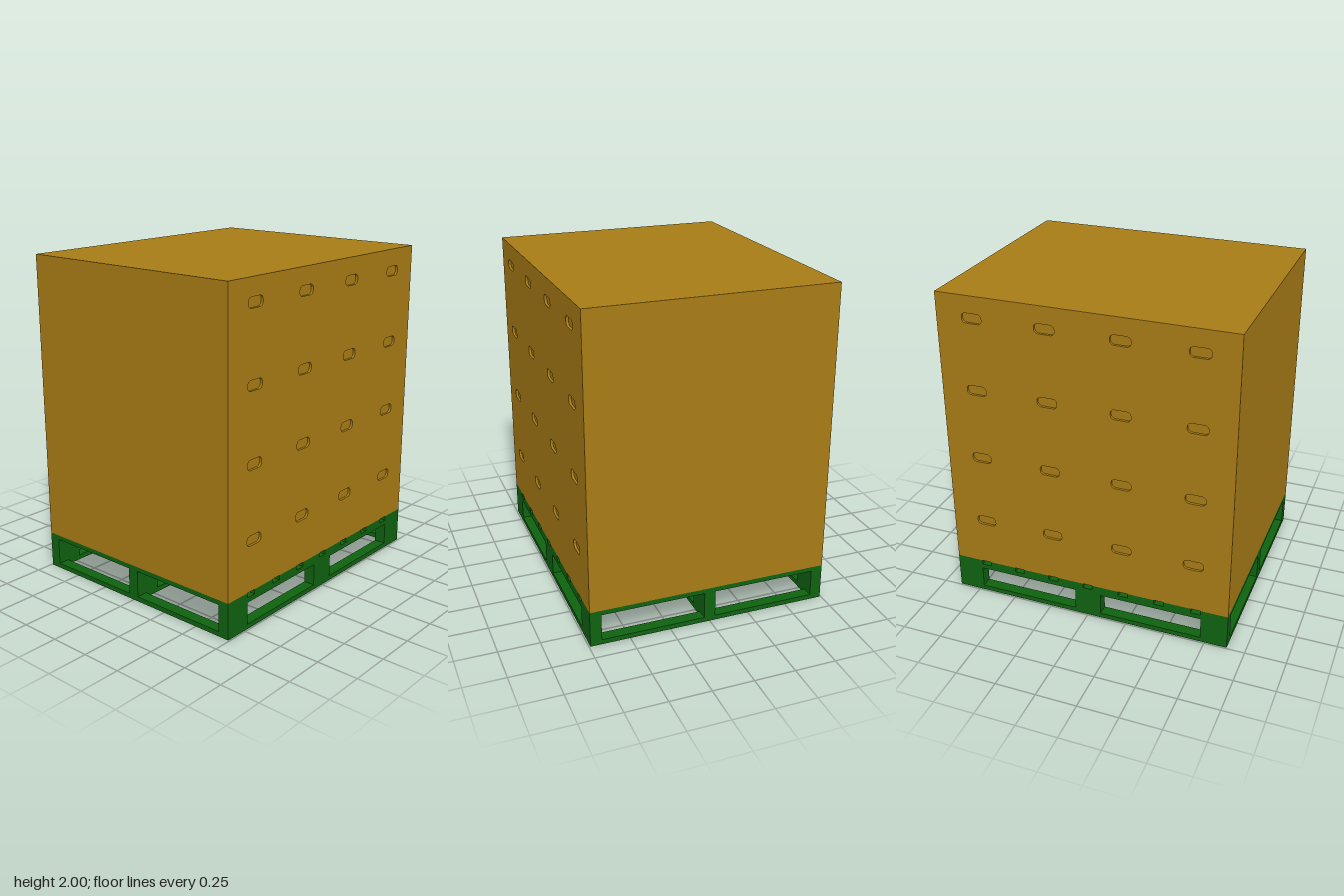
import * as THREE from 'three';

const W = 1.776, D = 1.484, H = 2;      // overall size
const DECK = 0.224;                     // top of the pallet
const BOARD = 0.03;                     // board thickness
const RAIL = 0.07;                      // width of rails and blocks in z
const BLOCK = 0.166;                    // width of blocks in x
const RECESS = 0.015;                   // depth of the hand holds

const green = new THREE.MeshStandardMaterial({ color: 0x0f6210 });
const brown = new THREE.MeshStandardMaterial({ color: 0xa87c16 });

function box(parent, name, material, x, y0, y1, z, w, d) {
  const mesh = new THREE.Mesh(new THREE.BoxGeometry(w, y1 - y0, d), material);
  mesh.position.set(x, (y0 + y1) / 2, z);
  mesh.name = name;
  parent.add(mesh);
}

// Rounded slot outline centred on (x, y)
function slot(x, y, w = 0.122, h = 0.06, r = 0.025) {
  const p = new THREE.Path();
  const a = w / 2 - r, b = h / 2 - r;
  p.absarc(x + a, y + b, r, 0, Math.PI / 2);
  p.absarc(x - a, y + b, r, Math.PI / 2, Math.PI);
  p.absarc(x - a, y - b, r, Math.PI, Math.PI * 1.5);
  p.absarc(x + a, y - b, r, Math.PI * 1.5, Math.PI * 2);
  p.closePath();
  return p;
}

function createPallet() {
  const pallet = new THREE.Group();
  pallet.name = 'pallet';
  const railZ = [-1, 0, 1].map(s => s * (D - RAIL) / 2);
  const blockX = [-1, 0, 1].map(s => s * (W - BLOCK) / 2);

  // Three rows: bottom rail, blocks, upper stringer
  for (const z of railZ) {
    box(pallet, 'bottomRail', green, 0, 0, BOARD, z, W, RAIL);
    box(pallet, 'stringer', green, 0, 0.165, 0.195, z, W, RAIL);
    for (const x of blockX) box(pallet, 'block', green, x, BOARD, 0.165, z, BLOCK, RAIL);
  }

  // Side rails close the bottom frame between the three rows
  const span = (D - 3 * RAIL) / 2;
  for (const sx of [-1, 1]) for (const sz of [-1, 1]) {
    box(pallet, 'bottomSideRail', green, sx * (W - RAIL) / 2, 0, BOARD,
      sz * (RAIL + span) / 2, RAIL, span);
  }

  // Eight deck boards with gaps between
  const boards = 8, width = 0.168, pitch = (W - width) / (boards - 1);
  for (let i = 0; i < boards; i++) {
    box(pallet, 'deckBoard', green, -W / 2 + width / 2 + i * pitch, 0.195, DECK, 0, width, D);
  }
  return pallet;
}

function createLoad() {
  const load = new THREE.Group();
  load.name = 'cartonLoad';
  box(load, 'cartonCore', brown, 0, DECK, H, 0, W, D - 2 * RECESS);

  // Front and back walls with a grid of hand holds
  const wall = new THREE.Shape();
  wall.moveTo(-W / 2, DECK).lineTo(W / 2, DECK).lineTo(W / 2, H).lineTo(-W / 2, H).closePath();
  const cell = W / 4;
  for (let row = 0; row < 4; row++) {
    for (let col = 0; col < 4; col++) {
      wall.holes.push(slot((col - 1.5) * cell, H - row * cell - 0.135));
    }
  }
  const geometry = new THREE.ExtrudeGeometry(wall, { depth: RECESS, bevelEnabled: false, curveSegments: 5 });
  geometry.translate(0, 0, D / 2 - RECESS);
  for (const [name, turn] of [['frontWall', 0], ['backWall', Math.PI]]) {
    const mesh = new THREE.Mesh(geometry, brown);
    mesh.rotation.y = turn;
    mesh.name = name;
    load.add(mesh);
  }
  return load;
}

export function createModel() {
  const model = new THREE.Group();
  model.name = 'loadedPallet';
  model.add(createPallet(), createLoad());
  return model;
}
